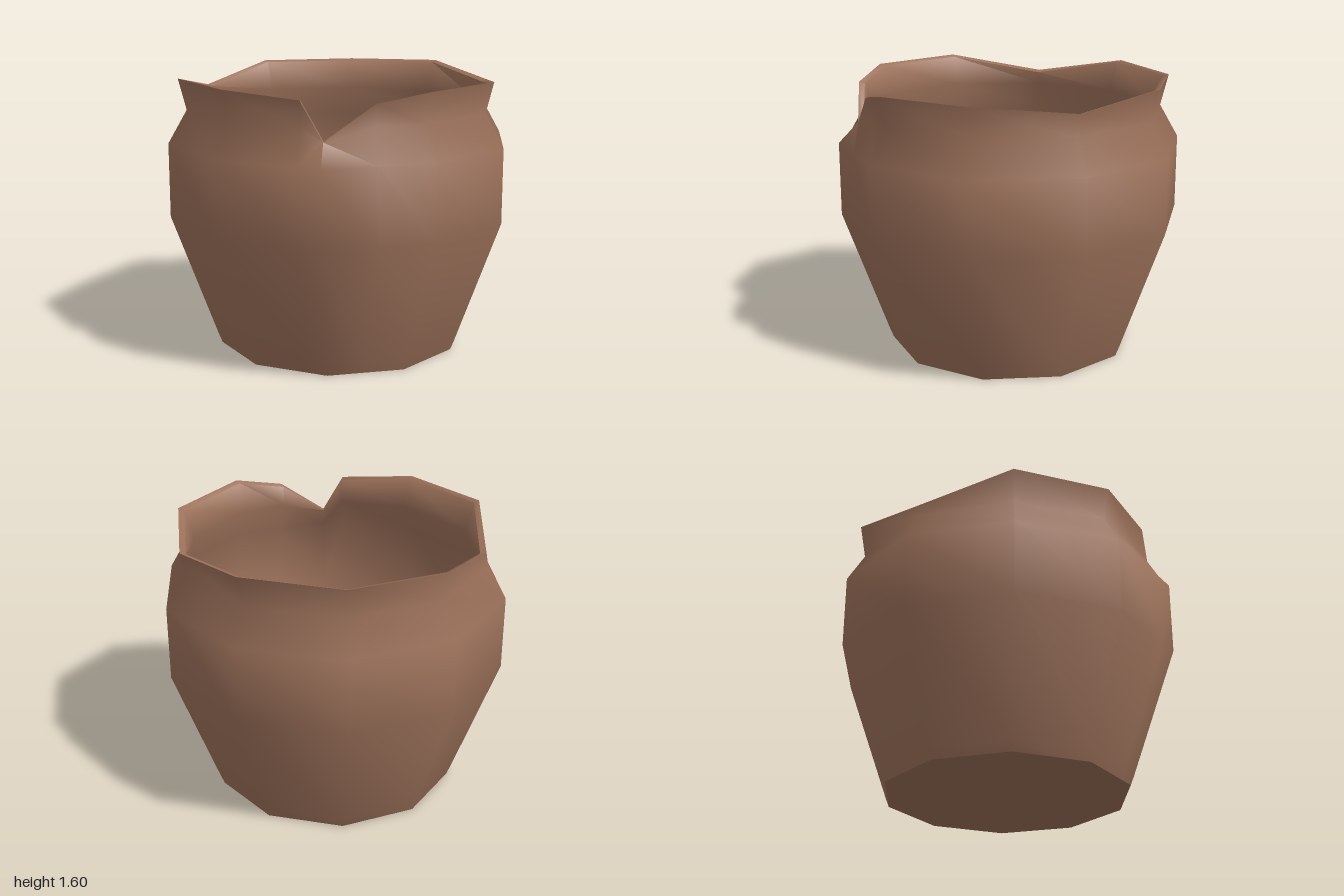
import * as THREE from 'three';
import { toCreasedNormals } from 'three/addons/utils/BufferGeometryUtils.js';

const rad = THREE.MathUtils.degToRad;

// Closed wall profile [radius, height]: underside, outer wall, lip, inner wall, floor
const profile = [
  [0, 0], [0.715, 0], [0.735, 0.05], [1, 0.79], [1, 1.22], [0.89, 1.41], [0.935, 1.59],
  [0.9, 1.58], [0.85, 1.41], [0.955, 1.22], [0.955, 0.8], [0.72, 0.06], [0, 0.06],
];
const NECK_OUT = 5, LIP_OUT = 6, LIP_IN = 7, NECK_IN = 8;

// Ten corners, plus two extra columns at either side of the chip (28 and 54 degrees)
const angles = [0, 28, 36, 54, 72, 108, 144, 180, 216, 252, 288, 324];
// Uneven lip: change of height and radius at some columns
const lip = { 28: [-0.035, -0.02], 54: [-0.055, -0.02], 144: [-0.05, -0.03], 180: [0.012, 0.005], 288: [-0.1, -0.06] };

function point(row, angle) {
  let [r, y] = profile[row];
  if (row >= NECK_OUT && row <= NECK_IN && angle === 36) {
    // bottom of the chipped notch
    r = row <= LIP_OUT ? 0.885 : 0.855;
    y = 1.34;
  } else if ((row === LIP_OUT || row === LIP_IN) && lip[angle]) {
    y += lip[angle][0];
    r += lip[angle][1];
  }
  // keep in-between columns on the flat sides of the decagon
  r *= Math.cos(rad(18)) / Math.cos(rad((angle % 36) - 18));
  return [r * Math.sin(rad(angle)), y, r * Math.cos(rad(angle))];
}

export function createModel() {
  const clay = new THREE.MeshStandardMaterial({ color: 0x9c715a });
  clay.name = 'brown clay';

  const positions = [], index = [], n = angles.length;
  for (let i = 0; i < profile.length; i++) {
    for (const a of angles) positions.push(...point(i, a));
  }
  for (let i = 0; i < profile.length - 1; i++) {
    for (let j = 0; j < n; j++) {
      const a = i * n + j, b = i * n + ((j + 1) % n), c = a + n, d = b + n;
      // flip the diagonal on the side leading down into the notch
      const tris = angles[j] === 28 ? [a, b, d, a, d, c] : [a, b, c, b, d, c];
      for (let k = 0; k < 6; k += 3) {
        const [p, q, s] = [0, 1, 2].map((m) => new THREE.Vector3().fromArray(positions, tris[k + m] * 3));
        // skip collapsed triangles
        if (q.sub(p).cross(s.sub(p)).length() > 1e-7) index.push(tris[k], tris[k + 1], tris[k + 2]);
      }
    }
  }
  let geometry = new THREE.BufferGeometry();
  geometry.setAttribute('position', new THREE.Float32BufferAttribute(positions, 3));
  geometry.setIndex(index);
  geometry = toCreasedNormals(geometry, rad(62));

  const pot = new THREE.Mesh(geometry, clay);
  pot.name = 'chippedPot';
  const group = new THREE.Group();
  group.name = 'clayPot';
  group.add(pot);
  return group;
}
